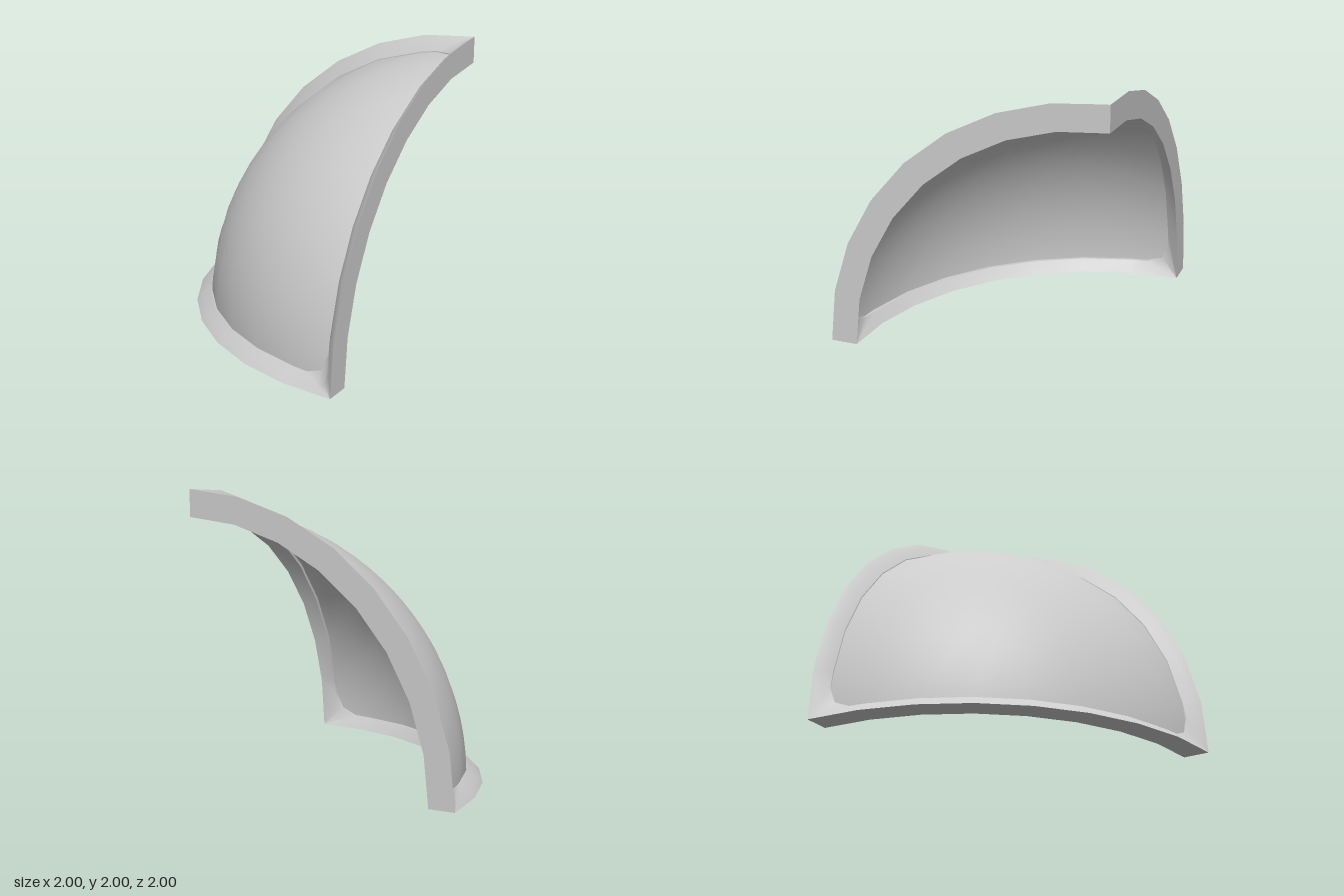
import * as THREE from 'three';

const OUTER = 2, INNER = 1.81;             // frame radii
const LIP = 0.085, ROUND = 0.25, MID = 0.133; // opening inset and corner rounding
const SEG = 8;
const CENTRE = new THREE.Vector3(1, 0, -1);
// the three edges of the sphere octant, in right-handed order
const AXES = [
  new THREE.Vector3(0, 1, 0),
  new THREE.Vector3(-1, 0, 0),
  new THREE.Vector3(0, 0, 1),
];

// closed loop around the octant, ten points per side, on a sphere of radius r;
// pt(r) returns the coordinates along [this axis, next axis, third axis]
function loop(r, section) {
  const pts = [];
  AXES.forEach((a, k) => {
    const b = AXES[(k + 1) % 3], c = AXES[(k + 2) % 3];
    for (const [u, v, w] of section(r)) {
      pts.push(new THREE.Vector3().addScaledVector(a, u).addScaledVector(b, v).addScaledVector(c, w));
    }
  });
  return pts;
}

// loop lying in the three cut planes; the corner point repeats for the rounding
function rimSection(r) {
  const s = [[r, 0, 0], [r, 0, 0]];
  for (let j = 1; j < SEG; j++) {
    const t = (j / SEG) * Math.PI / 2;
    s.push([r * Math.cos(t), r * Math.sin(t), 0]);
  }
  s.push([0, r, 0]);
  return s;
}

// loop of the opening, inset from the cut planes, with rounded corners
function openingSection(r) {
  const q = Math.sqrt(r * r - LIP * LIP), t0 = Math.asin(ROUND / q);
  const s = [[Math.sqrt(r * r - 2 * MID * MID), MID, MID]];
  const angles = [t0];
  for (let j = 1; j < SEG; j++) angles.push((j / SEG) * Math.PI / 2);
  angles.push(Math.PI / 2 - t0);
  for (const t of angles) s.push([q * Math.cos(t), q * Math.sin(t), LIP]);
  return s;
}

// surface through successive closed loops
function skin(name, rows, { flat = false, radial = false, twoSided = false } = {}) {
  const n = rows[0].length, pos = [], index = [];
  const all = rows.flat();
  all.forEach((p) => pos.push(p.x + CENTRE.x, p.y + CENTRE.y, p.z + CENTRE.z));
  const tri = (a, b, c) => {
    const same = (i, j) => all[i].distanceTo(all[j]) < 1e-6;
    if (!same(a, b) && !same(b, c) && !same(a, c)) index.push(a, b, c);
  };
  for (let i = 0; i < rows.length - 1; i++) {
    for (let j = 0; j < n; j++) {
      const a = i * n + j, b = i * n + (j + 1) % n;
      tri(a, b, b + n);
      tri(a, b + n, a + n);
    }
  }
  let geo = new THREE.BufferGeometry();
  geo.setAttribute('position', new THREE.Float32BufferAttribute(pos, 3));
  geo.setIndex(index);
  if (flat) geo = geo.toNonIndexed();
  if (radial) {
    const nor = all.flatMap((p) => p.clone().normalize().toArray());
    geo.setAttribute('normal', new THREE.Float32BufferAttribute(nor, 3));
  } else {
    geo.computeVertexNormals();
  }
  const mat = new THREE.MeshStandardMaterial({
    color: 0xcccccc,
    side: twoSided ? THREE.DoubleSide : THREE.FrontSide,
  });
  const mesh = new THREE.Mesh(geo, mat);
  mesh.name = name;
  return mesh;
}

export function createModel() {
  const model = new THREE.Group();
  model.name = 'sphereOctantPanel';

  // frame: rounded outer slope, thin lip, underside and flat cut faces
  const rimOut = loop(OUTER, rimSection), rimIn = loop(INNER, rimSection);
  const lipOut = loop(1.897, openingSection), lipIn = loop(1.867, openingSection);
  const bulge = rimOut.map((p, i) => p.clone().lerp(lipOut[i], 0.5).multiplyScalar(1.006));
  const frame = new THREE.Group();
  frame.name = 'frame';
  frame.add(
    skin('frameOuterSlope', [rimOut, bulge, lipOut]),
    skin('openingLip', [lipOut, lipIn]),
    skin('frameUnderside', [lipIn, rimIn]),
    skin('frameCutFaces', [rimIn, rimOut], { flat: true }),
  );
  model.add(frame);

  // curved panel: opening loop shrunk towards the middle along the sphere
  const PANEL = 1.89, RINGS = 10;
  const edge = loop(PANEL, openingSection);
  const middle = new THREE.Vector3(-1, 1, 1).setLength(PANEL);
  const rings = [];
  for (let i = 0; i <= RINGS; i++) {
    rings.push(edge.map((p) => p.clone().lerp(middle, i / RINGS).setLength(PANEL)));
  }
  model.add(skin('panel', rings, { radial: true, twoSided: true }));

  return model;
}
